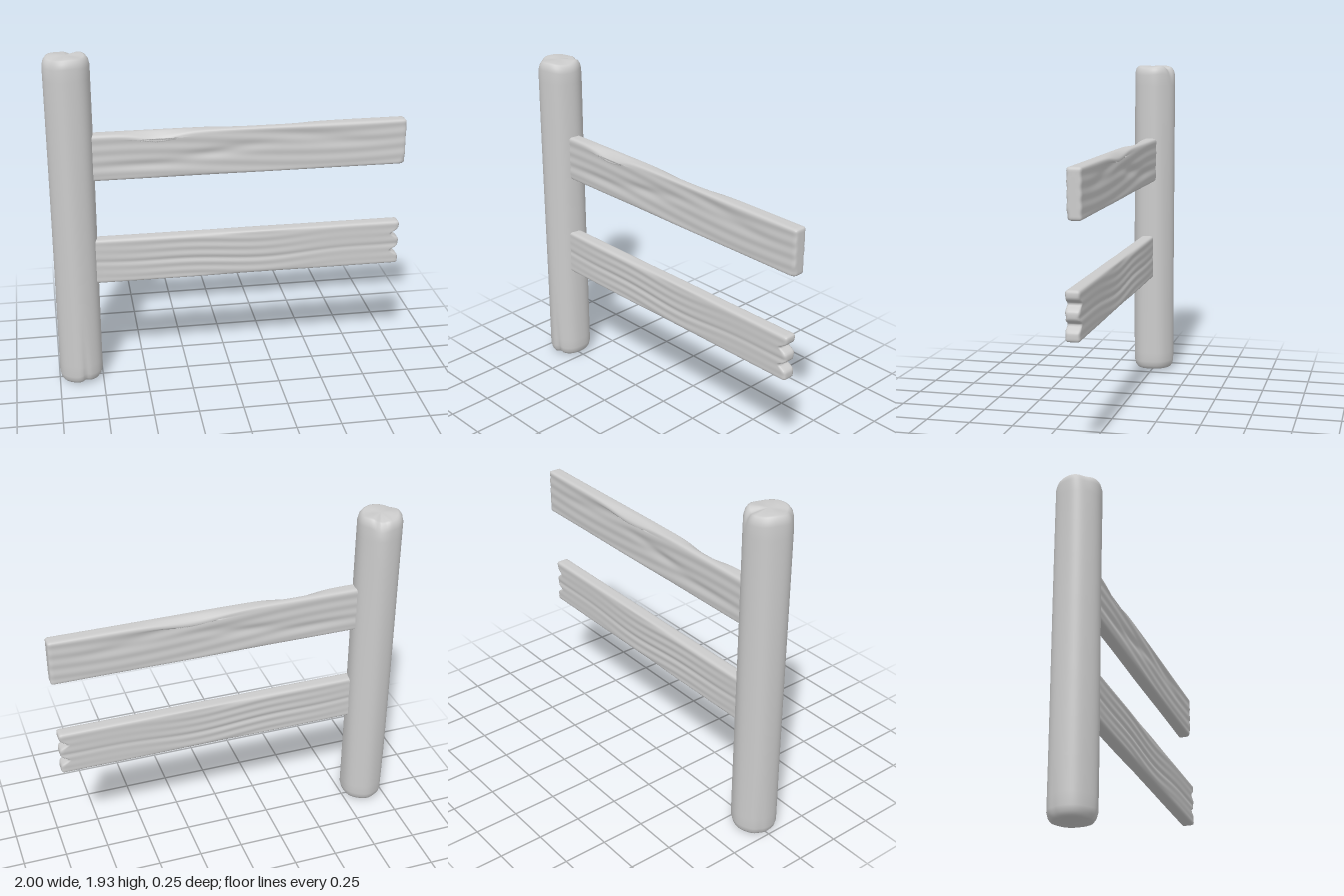
import * as THREE from 'three';
import { mergeVertices } from 'three/addons/utils/BufferGeometryUtils.js';

const material = new THREE.MeshStandardMaterial({ color: 0xcccccc });
const clamp = THREE.MathUtils.clamp;
const bump = (t, centre, width) => Math.exp(-(((t - centre) / width) ** 2));

// Weld a geometry, move each vertex by a rule and smooth it
function sculpt(geometry, rule) {
  geometry.deleteAttribute('uv');
  geometry.deleteAttribute('normal');
  const g = mergeVertices(geometry, 1e-5);
  const p = g.attributes.position;
  const v = new THREE.Vector3();
  for (let i = 0; i < p.count; i++) {
    rule(v.fromBufferAttribute(p, i));
    p.setXYZ(i, v.x, v.y, v.z);
  }
  g.computeVertexNormals();
  return g;
}

// Round log with worn, slightly chipped ends
function makePost() {
  const H = 1.925, R = 0.125;
  const half = [[0, 0], [0.05, 0], [0.095, 0.002], [0.106, 0.006], [0.118, 0.022], [R, 0.05], [R, 0.12], [R, 0.3], [R, 0.5], [R, 0.75]];
  const profile = [...half, ...half.map(([r, y]) => [r, H - y]).reverse()].map(([r, y]) => new THREE.Vector2(r, y));
  const geometry = sculpt(new THREE.LatheGeometry(profile, 64), (v) => {
    const a = Math.atan2(v.x, v.z), r = Math.hypot(v.x, v.z), k = r / R, y = v.y;
    const low = bump(y, 0, 0.2), high = bump(y, H, 0.06);
    let s = 1 + 0.012 * Math.cos(6 * a + y) + 0.008 * Math.sin(3 * a + 2.5 * y);
    s -= low * (0.1 * bump(a, 0.2, 0.13) + 0.05 * bump(a, -2, 0.2));   // splits at the foot
    s -= high * (0.12 * bump(a, 2.75, 0.25) + 0.07 * bump(a, -0.9, 0.3)); // chips at the top
    v.x *= s;
    v.z *= s;
    if (y < 0.1) v.y += k * (0.008 + 0.008 * Math.sin(a - 0.3) + 0.012 * bump(a, 0.2, 0.3));
    if (y > H - 0.1) v.y += k * (0.005 * Math.sin(3 * a + 1) - 0.02 * bump(a, 2.75, 0.3));
  });
  const post = new THREE.Mesh(geometry, material);
  post.name = 'post';
  post.position.x = -0.873;
  return post;
}

// Plank with rounded edges; shape(v, x, y, z) adds its own wear and grain
function makeRail(name, end, centreY, centreZ, shape) {
  const start = -0.8, L = end - start, H = 0.263, D = 0.077, r = 0.016;
  const inner = new THREE.Vector3(), limit = new THREE.Vector3(L / 2 - r, H / 2 - r, D / 2 - r);
  const low = limit.clone().negate();
  const geometry = sculpt(new THREE.BoxGeometry(L, H, D, 140, 32, 8), (v) => {
    inner.copy(v).clamp(low, limit);
    v.sub(inner).setLength(r).add(inner);
    shape(v, v.x + (start + end) / 2, v.y / (H / 2), v.z / (D / 2), L / 2);
  });
  const rail = new THREE.Mesh(geometry, material);
  rail.name = name;
  rail.position.set((start + end) / 2, centreY, centreZ);
  return rail;
}

// Upper rail: broad carved hollows, worn edges, chipped end corner
function upperWear(v, x, y, z) {
  const side = clamp(z * 1.4, -1, 1);
  const carve = 0.009 * bump(x, -0.05, 0.22) * bump(y, 0.1 + 0.8 * x, 0.22)
    + 0.007 * bump(x, 0.5, 0.25) * bump(y, 0.9 - 0.9 * x, 0.25)
    + 0.006 * bump(x, -0.45, 0.25) * bump(y, -0.35, 0.2);
  v.z -= side * carve;
  v.z += 0.0015 * side * Math.sin(13 * y + 3 * Math.sin(2.5 * x));
  if (y > 0.8) {
    v.y -= 0.03 * bump(x, -0.4, 0.13) * clamp(z + 0.1, 0, 1);
    v.y -= 0.03 * bump(x, 0.2, 0.2) * clamp(-z - 0.1, 0, 1);
  }
  // chipped front lower corner
  const over = (x - 0.94) / 0.06 - y - 1.45;
  if (over > 0 && z > 0) v.z -= over * 0.03 * z;
}

// Lower rail: wavy grain and two notches in the free end
function lowerWear(v, x, y, z, halfLength) {
  const side = clamp(z * 1.4, -1, 1);
  const flow = y + 0.12 * Math.sin(3.2 * x + 1) + 0.05 * Math.sin(8 * x);
  v.z += side * (0.002 * Math.sin(17 * flow) * (0.6 + 0.4 * Math.sin(4 * x + 2)) - 0.003 * bump(flow, -0.1, 0.08));
  const near = clamp((v.x - halfLength + 0.12) / 0.12, 0, 1);
  const notch = 0.045 * bump(y, 0.43, 0.15) + 0.045 * bump(y, -0.37, 0.15);
  v.x -= near * notch;
}

export function createModel() {
  const fence = new THREE.Group();
  fence.name = 'fenceSection';
  fence.add(
    makePost(),
    makeRail('upperRail', 0.998, 1.352, 0.004, upperWear),
    makeRail('lowerRail', 0.982, 0.743, 0.02, lowerWear),
  );
  return fence;
}
